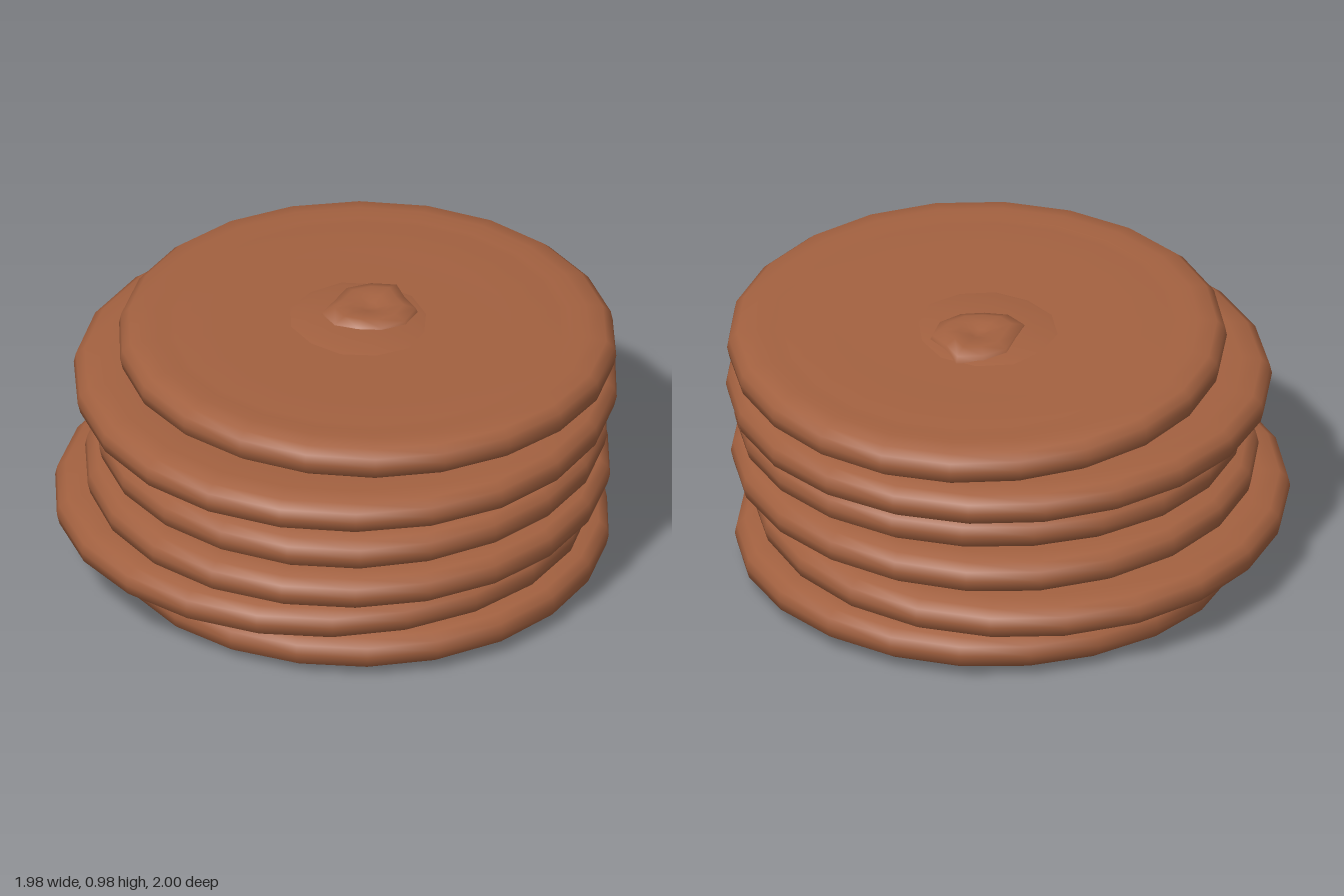
import * as THREE from 'three';
import { mergeVertices } from 'three/addons/utils/BufferGeometryUtils.js';

// Smooth, slightly uneven disc: lathe a profile, then wobble and tilt it
function unevenLathe(profile, segments, rx, rz, tiltX, tiltZ, wobble, phase) {
  let geo = new THREE.LatheGeometry(profile.map(([x, y]) => new THREE.Vector2(x, y)), segments);
  const p = geo.attributes.position;
  for (let i = 0; i < p.count; i++) {
    const a = Math.atan2(p.getZ(i), p.getX(i));
    const k = 1 + wobble * (Math.sin(3 * a + phase) + 0.7 * Math.sin(5 * a + phase * 2));
    const x = p.getX(i) * rx * k, z = p.getZ(i) * rz * k;
    const r = Math.hypot(p.getX(i), p.getZ(i));
    const ripple = 0.003 * r * Math.sin(2 * a + phase);
    p.setXYZ(i, x, p.getY(i) + x * tiltX + z * tiltZ + ripple, z);
  }
  geo.deleteAttribute('uv');
  geo.deleteAttribute('normal');
  geo = mergeVertices(geo, 1e-4);
  geo.computeVertexNormals();
  return geo;
}

export function createModel() {
  const group = new THREE.Group();
  const brown = new THREE.MeshStandardMaterial({ color: 0xa36140 });
  brown.name = 'warm brown';

  // Rounded rim with nearly flat faces
  const under = [[0, 0], [0.45, 0], [0.86, 0], [0.95, 0.01], [0.99, 0.035], [1, 0.075], [0.992, 0.11], [0.96, 0.135], [0.89, 0.146]];
  const plainTop = [[0.8, 0.142], [0.6, 0.14], [0, 0.14]];
  // The uppermost cake has shallow concentric ridges
  const ridgedTop = [[0.82, 0.14], [0.78, 0.143], [0.62, 0.147], [0.58, 0.142], [0.3, 0.142], [0, 0.143]];

  // xMin, xMax, zMin, zMax, base height, tilt along x, tilt along z
  const cakes = [
    [-0.87, 0.94, -0.97, 0.83, 0.026, 0.010, -0.016],
    [-1.00, 0.93, -0.93, 1.00, 0.185, 0.015, 0.009],
    [-0.89, 1.00, -0.94, 0.95, 0.337, 0.006, 0.004],
    [-0.85, 0.98, -0.93, 0.91, 0.494, 0.005, -0.009],
    [-0.96, 1.00, -1.00, 0.95, 0.652, -0.004, 0.003],
    [-0.83, 0.96, -0.98, 0.81, 0.812, 0.007, 0.024],
  ];
  cakes.forEach(([x0, x1, z0, z1, y, tx, tz], i) => {
    const top = i === cakes.length - 1 ? ridgedTop : plainTop;
    const geo = unevenLathe([...under, ...top], 22, (x1 - x0) / 2, (z1 - z0) / 2, tx, tz, 0.003, i * 1.7);
    const mesh = new THREE.Mesh(geo, brown);
    mesh.name = 'pancake' + (i + 1);
    mesh.position.set((x0 + x1) / 2, y, (z0 + z1) / 2);
    group.add(mesh);
  });

  // Low swelling around the middle of the top
  const swelling = new THREE.Mesh(
    unevenLathe([[0.3, -0.012], [0.24, 0.004], [0.12, 0.01], [0, 0.012]], 12, 1, 0.95, 0, 0.02, 0.02, 1), brown);
  swelling.name = 'centreSwelling';
  swelling.position.set(0.03, 0.955, -0.08);
  group.add(swelling);

  // Crumpled melted lump with a dent
  const lump = new THREE.Mesh(
    unevenLathe([[0.175, -0.015], [0.165, 0.01], [0.12, 0.024], [0.07, 0.02], [0.03, 0.01], [0, 0.006]], 11, 0.9, 1, 0, 0, 0.09, 2.2), brown);
  lump.name = 'centreLump';
  lump.position.set(0.01, 0.961, -0.15);
  group.add(lump);

  return group;
}
